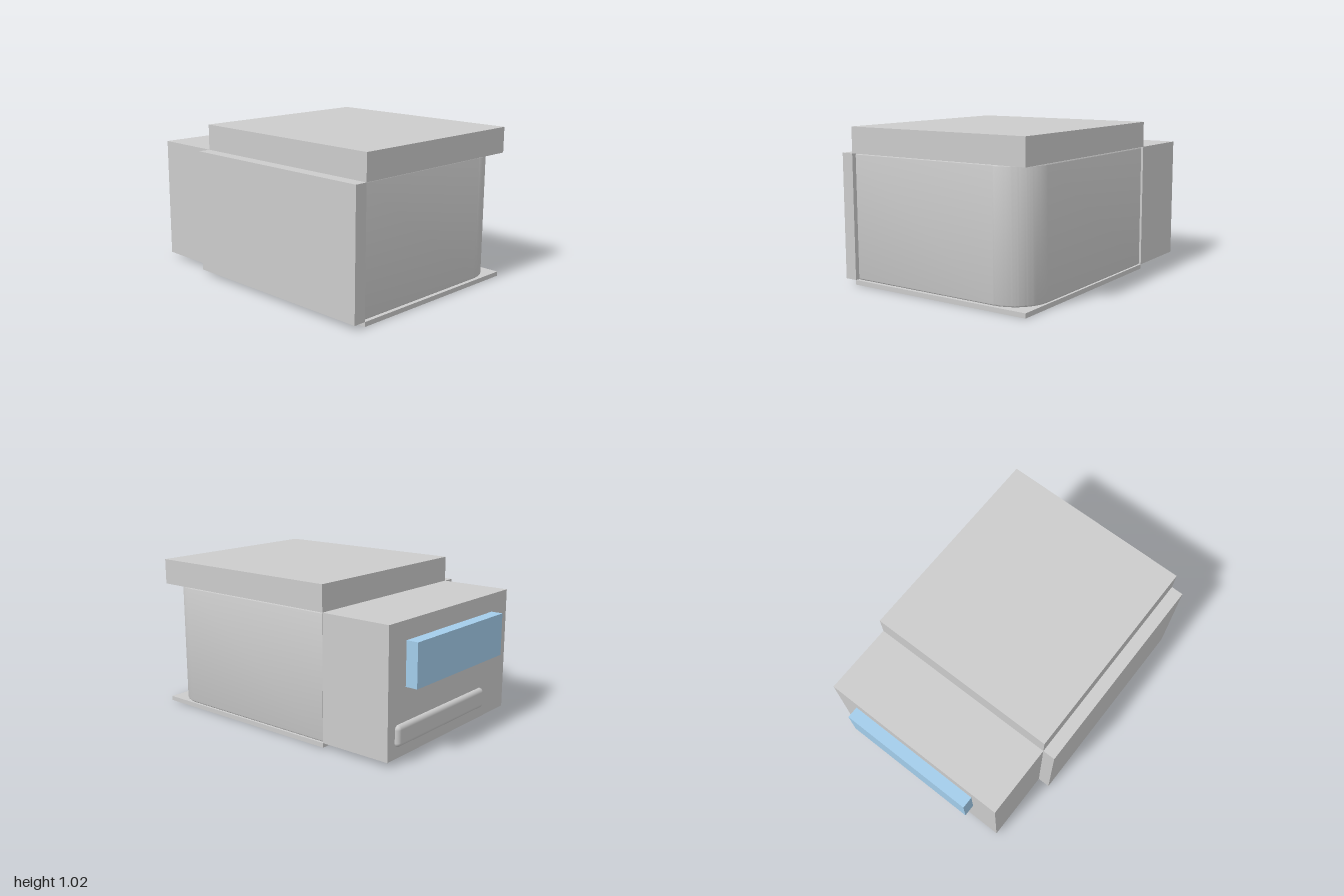
import * as THREE from 'three';
import { RoundedBoxGeometry } from 'three/addons/geometries/RoundedBoxGeometry.js';
import { toCreasedNormals } from 'three/addons/utils/BufferGeometryUtils.js';

const grey = new THREE.MeshStandardMaterial({ color: 0xcccccc });
const blue = new THREE.MeshStandardMaterial({ color: 0xa3cdeb });

// Box given by its minimum and maximum corners
function box(name, [x0, y0, z0], [x1, y1, z1], material = grey) {
  const mesh = new THREE.Mesh(new THREE.BoxGeometry(x1 - x0, y1 - y0, z1 - z0), material);
  mesh.position.set((x0 + x1) / 2, (y0 + y1) / 2, (z0 + z1) / 2);
  mesh.name = name;
  return mesh;
}

// Block with a single large rounded vertical corner at the front left
function mainBody() {
  const b = 0.01, x0 = -0.61 + b, x1 = 0.69 - b, back = 0.42 - b, front = -0.98 + b, r = 0.22;
  const shape = new THREE.Shape();
  shape.moveTo(x0, front);
  shape.lineTo(x1 - r, front);
  shape.absarc(x1 - r, front + r, r, -Math.PI / 2, 0, false);
  shape.lineTo(x1, back);
  shape.lineTo(x0, back);
  shape.closePath();
  const geometry = new THREE.ExtrudeGeometry(shape, {
    depth: 0.80, bevelEnabled: true, bevelSize: b, bevelThickness: b, bevelSegments: 3, curveSegments: 20,
  });
  geometry.rotateX(-Math.PI / 2);
  const mesh = new THREE.Mesh(toCreasedNormals(geometry, 0.6), grey);
  mesh.position.y = 0.03 + b;
  mesh.name = 'mainBody';
  return mesh;
}

export function createModel() {
  const model = new THREE.Group();
  model.name = 'building';

  // Floor plate and roof slab overhanging the rounded body
  model.add(box('floorPlate', [-0.62, 0, -0.43], [0.70, 0.03, 1]));
  model.add(box('roofSlab', [-0.62, 0.85, -0.43], [0.70, 1.02, 1]));
  model.add(mainBody());

  // Side wall and rear block
  model.add(box('sideWall', [-0.705, 0.03, -0.43], [-0.62, 0.85, 1]));
  model.add(box('rearBlock', [-0.62, 0.03, -0.92], [0.70, 0.85, -0.43]));

  // Rear window and the soft-edged bar below it
  model.add(box('rearWindow', [-0.43, 0.45, -1], [0.53, 0.73, -0.92], blue));
  const bar = new THREE.Mesh(new RoundedBoxGeometry(0.96, 0.135, 0.07, 5, 0.028), grey);
  bar.position.set(0.15, 0.17, -0.913);
  bar.name = 'rearBar';
  model.add(bar);

  return model;
}
